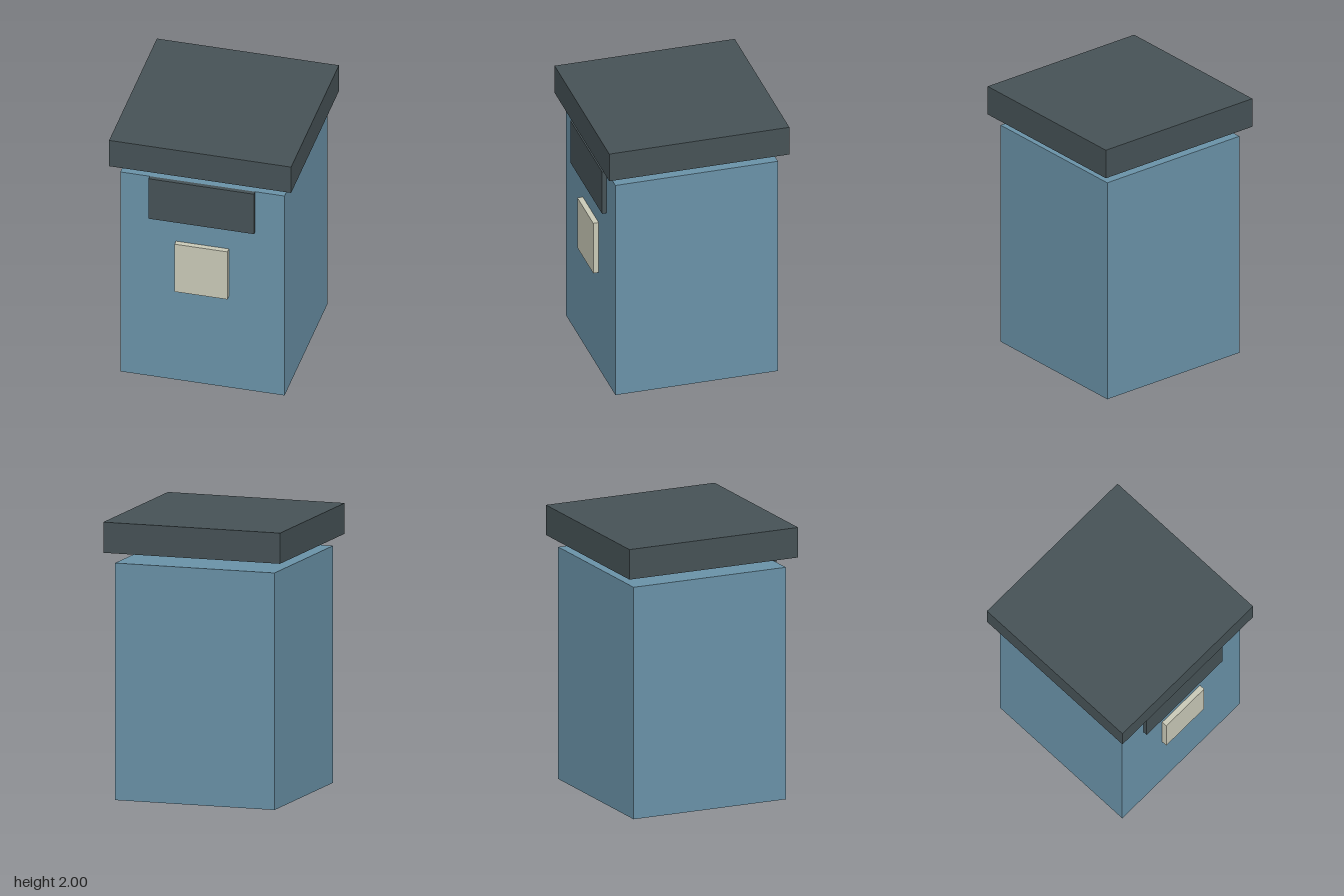
import * as THREE from 'three';

export function createModel() {
  const model = new THREE.Group();
  model.name = 'bin';

  const material = (name, color) => {
    const m = new THREE.MeshStandardMaterial({ color });
    m.name = name;
    return m;
  };
  const blue = material('body blue', 0x6a92a8);
  const slate = material('slate grey', 0x465256);
  const cream = material('label cream', 0xcacab8);

  // Adds a box spanning the given minimum and maximum corners
  const addBox = (name, mat, min, max) => {
    const [w, h, d] = max.map((v, i) => v - min[i]);
    const mesh = new THREE.Mesh(new THREE.BoxGeometry(w, h, d), mat);
    mesh.position.set(min[0] + w / 2, min[1] + h / 2, min[2] + d / 2);
    mesh.name = name;
    model.add(mesh);
  };

  // Upright container and the overhanging lid raised above it
  addBox('body', blue, [-0.6, 0, -0.6], [0.6, 1.7, 0.6]);
  addBox('lid', slate, [-0.665, 1.78, -0.665], [0.665, 2, 0.665]);

  // Front opening flap and label panel
  addBox('openingFlap', slate, [-0.385, 1.36, 0.6], [0.385, 1.7, 0.633]);
  addBox('labelPanel', cream, [-0.193, 0.775, 0.6], [0.193, 1.18, 0.64]);

  return model;
}
